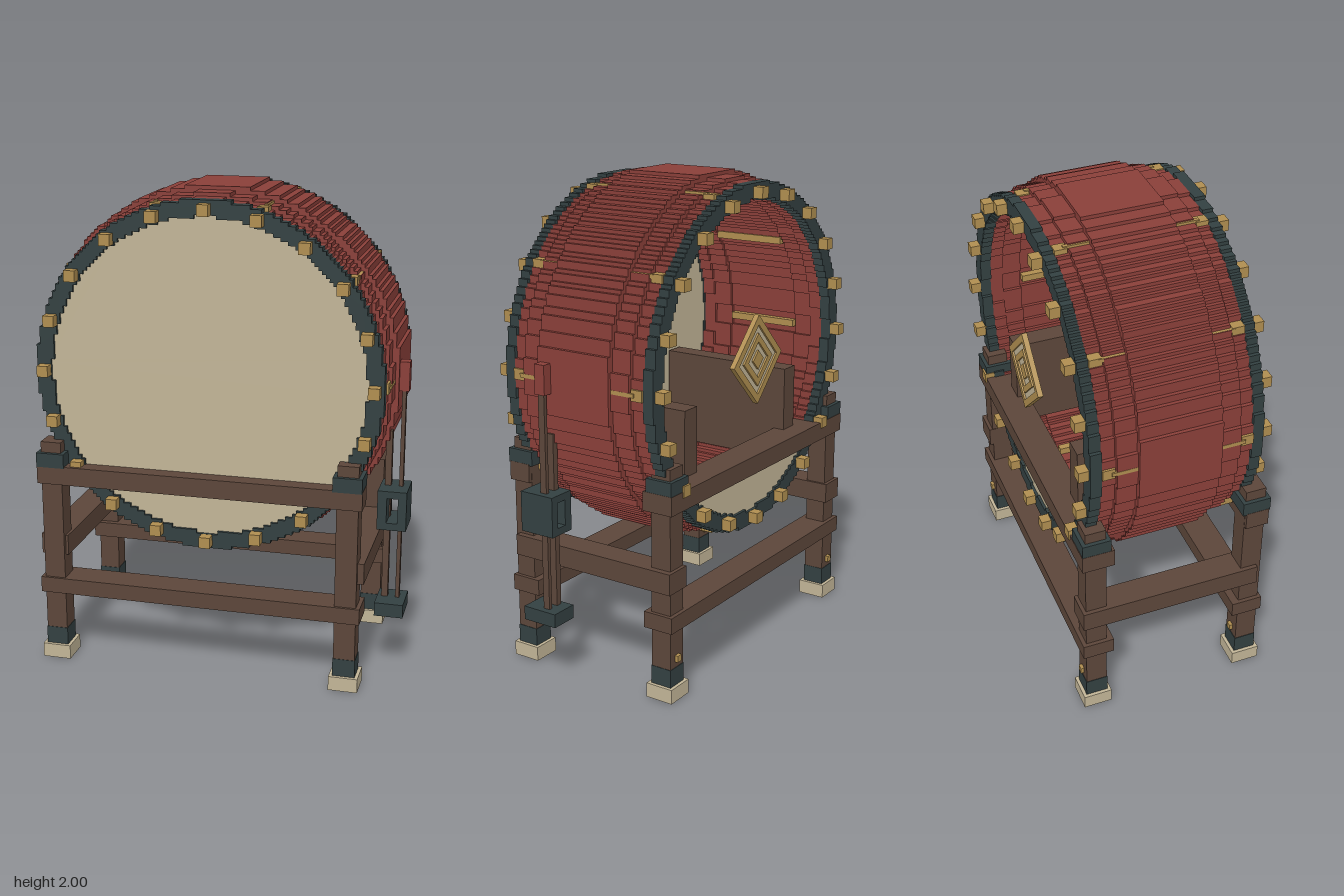
import * as THREE from 'three';

const mat = (name, color) => {
  const m = new THREE.MeshStandardMaterial({ color });
  m.name = name;
  return m;
};

export function createModel() {
  const red = mat('red lacquer', 0x8a3f39);
  const wood = mat('brown wood', 0x5c463a);
  const iron = mat('dark iron', 0x334041);
  const gold = mat('gold', 0xb08e50);
  const hide = mat('cream hide', 0xc2b597);

  const root = new THREE.Group();
  const group = (name) => {
    const g = new THREE.Group();
    g.name = name;
    root.add(g);
    return g;
  };
  // box given by its extents on each axis
  const box = (parent, name, m, x0, x1, y0, y1, z0, z1) => {
    const mesh = new THREE.Mesh(new THREE.BoxGeometry(x1 - x0, y1 - y0, z1 - z0), m);
    mesh.position.set((x0 + x1) / 2, (y0 + y1) / 2, (z0 + z1) / 2);
    mesh.name = name;
    parent.add(mesh);
  };
  const slab = (parent, name, m, shape, z0, z1) => {
    const mesh = new THREE.Mesh(
      new THREE.ExtrudeGeometry(shape, { depth: z1 - z0, bevelEnabled: false }), m);
    mesh.position.z = z0;
    mesh.name = name;
    parent.add(mesh);
  };

  // outline of a circle made of small square steps
  const STEP = 0.0148;
  const steppedCircle = (r) => {
    const q = [];
    const rows = Math.round(r / STEP);
    let last = -1;
    for (let i = 0; i < rows; i++) {
      const mid = (i + 0.5) * STEP;
      const w = Math.max(1, Math.round(Math.sqrt(Math.max(0, r * r - mid * mid)) / STEP)) * STEP;
      if (w !== last && i > 0) q.push([w, i * STEP]);
      q.push([w, (i + 1) * STEP]);
      last = w;
    }
    const back = [...q].reverse();
    return [
      ...q,
      ...back.map(([x, y]) => [-x, y]),
      ...q.map(([x, y]) => [-x, -y]),
      ...back.map(([x, y]) => [x, -y]),
    ].map(([x, y]) => new THREE.Vector2(x, y));
  };
  const steppedRing = (outer, inner) => {
    const s = new THREE.Shape(steppedCircle(outer));
    s.holes.push(new THREE.Path(steppedCircle(inner)));
    return s;
  };

  // drum, built around its own axis
  const drum = group('drum');
  drum.position.set(-0.03, 1.256, -0.01);
  slab(drum, 'barrelMiddle', red, steppedRing(0.745, 0.675), -0.167, 0.167);
  for (const s of [-1, 1]) {
    const band = (name, m, shape, a, b) =>
      slab(drum, name, m, shape, Math.min(s * a, s * b), Math.max(s * a, s * b));
    band('barrelShoulder', red, steppedRing(0.722, 0.66), 0.167, 0.25);
    band('barrelEnd', red, steppedRing(0.705, 0.65), 0.25, 0.305);
    band('rimHoop', iron, steppedRing(0.71, 0.645), 0.305, 0.35);
    for (let i = 0; i < 20; i++) {
      const a = (i * Math.PI) / 10;
      const x = 0.675 * Math.cos(a), y = 0.675 * Math.sin(a);
      const z = s * 0.369;
      box(drum, 'rimStud', gold, x - 0.023, x + 0.023, y - 0.023, y + 0.023, z - 0.023, z + 0.023);
    }
  }
  // gold fittings on the staves, outside and inside
  for (let i = 0; i < 10; i++) {
    const a = (i * Math.PI) / 5;
    const c = Math.cos(a), n = Math.sin(a);
    const fitting = (name, r, h, z0, z1) =>
      box(drum, name, gold, r * c - h, r * c + h, r * n - h, r * n + h, z0, z1);
    fitting('innerBar', 0.665, 0.015, -0.16, 0.16);
    for (const s of [-1, 1]) {
      fitting('staveTag', 0.698, 0.022, s * 0.28 - 0.025, s * 0.28 + 0.025);
      fitting('staveStrip', 0.718, 0.008, s * 0.215 - 0.055, s * 0.215 + 0.055);
    }
  }
  // full skin in front, only the lower part of the skin at the back
  slab(drum, 'frontSkin', hide, new THREE.Shape(steppedCircle(0.655)), 0.31, 0.338);
  slab(drum, 'backSkin', hide,
    new THREE.Shape(steppedCircle(0.655).filter((p) => p.y < -0.45)), -0.338, -0.31);
  // supports inside the drum
  for (const s of [-1, 1])
    box(drum, 'innerSupport', wood, s * 0.385 - 0.043, s * 0.385 + 0.043, -0.53, -0.125, -0.3, 0.3);

  // diamond ornament at the back
  const diamond = (r, hole) => {
    const pts = (k) => [[k, 0], [0, k], [-k, 0], [0, -k]].map(([x, y]) => new THREE.Vector2(x, y));
    const s = new THREE.Shape(pts(r));
    if (hole) s.holes.push(new THREE.Path(pts(hole)));
    return s;
  };
  for (const [r, hole] of [[0.185, 0.145], [0.11, 0.075], [0.04, 0]])
    slab(drum, 'ornamentRing', gold, diamond(r, hole), -0.372, -0.35);
  slab(drum, 'ornamentPlate', hide, diamond(0.15, 0), -0.364, -0.356);

  // stand: four posts
  const stand = group('stand');
  for (const x of [-0.68, 0.555])
    for (const z of [-0.335, 0.341]) {
      const block = (name, m, h, y0, y1) =>
        box(stand, name, m, x - h, x + h, y0, y1, z - h, z + h);
      block('foot', hide, 0.06, 0, 0.06);
      block('postSleeve', iron, 0.046, 0.06, 0.135);
      block('post', wood, 0.044, 0.135, 0.855);
      block('postCap', iron, 0.059, 0.855, 0.915);
      block('postTip', wood, 0.043, 0.915, 0.96);
      box(stand, 'peg', gold, x - 0.013, x + 0.013, 0.16, 0.187, z - 0.058, z - 0.04);
    }
  // rails
  box(stand, 'upperFrontRail', wood, -0.74, 0.615, 0.782, 0.86, 0.298, 0.395);
  box(stand, 'upperBackRail', wood, -0.74, 0.615, 0.782, 0.86, -0.396, -0.262);
  box(stand, 'lowerFrontRail', wood, -0.74, 0.615, 0.298, 0.365, 0.265, 0.396);
  box(stand, 'lowerBackRail', wood, -0.74, 0.615, 0.298, 0.365, -0.396, -0.265);
  for (const x of [-0.683, 0.567])
    box(stand, 'sideRail', wood, x - 0.058, x + 0.058, 0.463, 0.55, -0.394, 0.366);

  // beater rack on the side
  const rack = group('beaterRack');
  const frame = new THREE.Shape([[0.647, 0.645], [0.765, 0.645], [0.765, 0.81], [0.647, 0.81]]
    .map(([x, y]) => new THREE.Vector2(x, y)));
  frame.holes.push(new THREE.Path([[0.685, 0.675], [0.73, 0.675], [0.73, 0.78], [0.685, 0.78]]
    .map(([x, y]) => new THREE.Vector2(x, y))));
  slab(rack, 'rackHolder', iron, frame, 0.06, 0.215);
  box(rack, 'rackBase', iron, 0.647, 0.765, 0.265, 0.322, 0.06, 0.215);
  box(rack, 'rackPost', wood, 0.664, 0.69, 0.322, 1.04, 0.108, 0.137);
  box(rack, 'beaterStick', wood, 0.722, 0.738, 0.322, 1.21, 0.108, 0.137);
  box(rack, 'beaterHead', red, 0.7, 0.75, 1.21, 1.33, 0.095, 0.142);

  return root;
}
